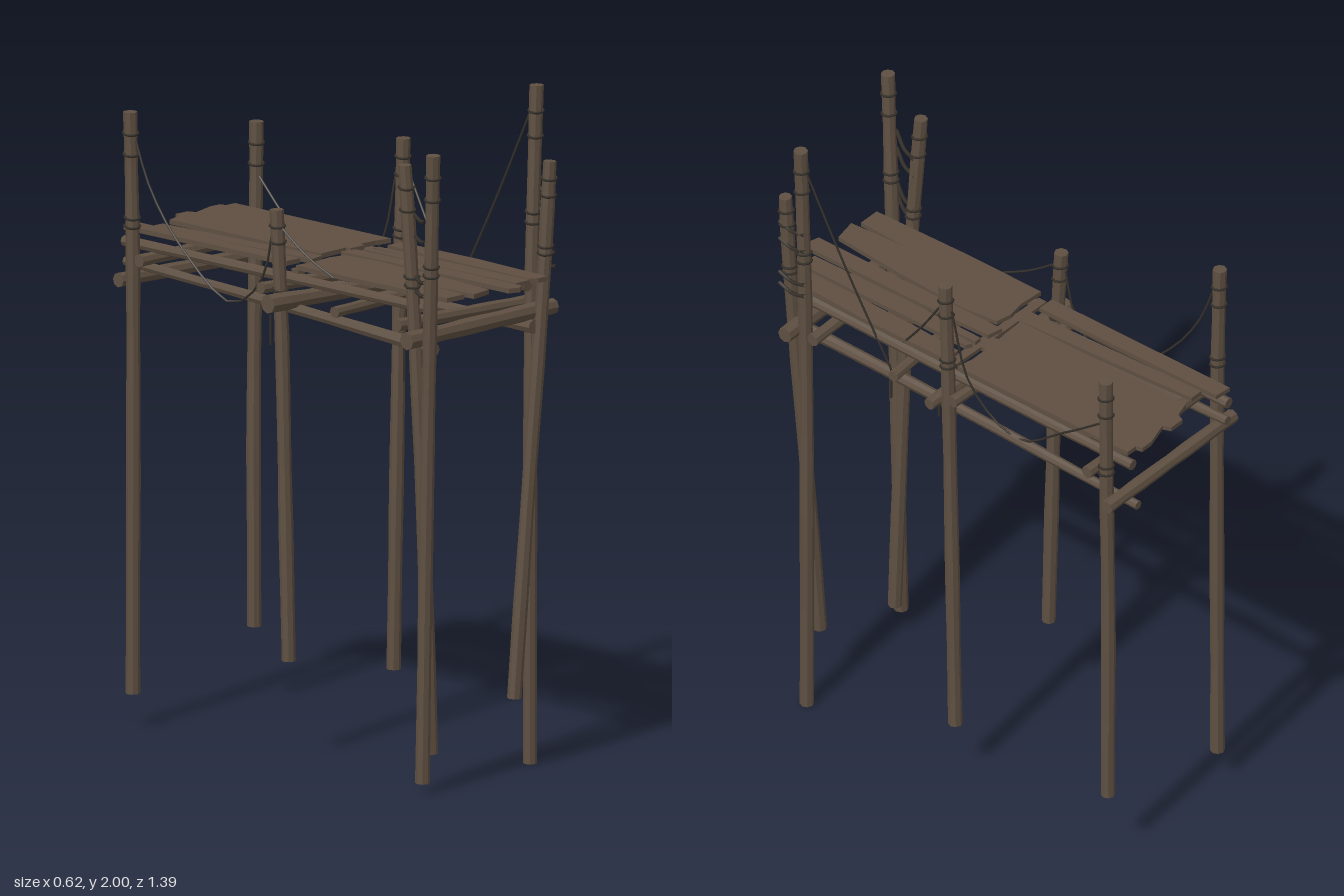
import * as THREE from 'three';

const wood = new THREE.MeshStandardMaterial({ color: 0x5e4f41, flatShading: true });
wood.name = 'weathered wood';
const rope = new THREE.MeshStandardMaterial({ color: 0x35302a });
rope.name = 'dark rope';

const V = (p) => new THREE.Vector3(...p);

// Rough round timber following a few points, with a slightly uneven radius
function pole(name, points, r0, r1 = r0) {
  const pts = points.map(V);
  const curve = pts.length > 2 ? new THREE.CatmullRomCurve3(pts) : new THREE.LineCurve3(pts[0], pts[1]);
  const dir = pts[pts.length - 1].clone().sub(pts[0]).normalize();
  const q = new THREE.Quaternion().setFromUnitVectors(new THREE.Vector3(0, 1, 0), dir);
  const geo = new THREE.CylinderGeometry(1, 1, 1, 8, 8);
  const pos = geo.attributes.position;
  const v = new THREE.Vector3();
  for (let i = 0; i < pos.count; i++) {
    const t = THREE.MathUtils.clamp(pos.getY(i) + 0.5, 0, 1);
    const r = THREE.MathUtils.lerp(r0, r1, t) * (1 + 0.05 * Math.sin(t * 17 + points[0][0] * 40));
    v.set(pos.getX(i) * r, 0, pos.getZ(i) * r).applyQuaternion(q).add(curve.getPoint(t));
    pos.setXYZ(i, v.x, v.y, v.z);
  }
  geo.computeVertexNormals();
  const mesh = new THREE.Mesh(geo, wood);
  mesh.name = name;
  return mesh;
}

function cord(name, points, r = 0.0035) {
  const curve = new THREE.CatmullRomCurve3(points.map(V));
  const mesh = new THREE.Mesh(new THREE.TubeGeometry(curve, 16, r, 5), rope);
  mesh.name = name;
  return mesh;
}

// Board with a ragged outline given in (x, z)
function plank(name, outline, y, thickness = 0.014) {
  const shape = new THREE.Shape(outline.map(([x, z]) => new THREE.Vector2(x, -z)));
  const geo = new THREE.ExtrudeGeometry(shape, { depth: thickness, bevelEnabled: false });
  geo.rotateX(-Math.PI / 2);
  const mesh = new THREE.Mesh(geo, wood);
  mesh.name = name;
  mesh.position.y = y;
  return mesh;
}

export function createModel() {
  const model = new THREE.Group();
  model.name = 'scaffoldPlatform';
  const add = (...m) => model.add(...m);

  // Upright posts: paired at the front, single at the middle and back
  const posts = [
    ['frontRightOuterPost', [[-0.25, 0.03, 0.59], [-0.252, 0.9, 0.61], [-0.262, 1.45, 0.635], [-0.28, 1.9, 0.665]]],
    ['frontRightInnerPost', [[-0.18, 0.1, 0.555], [-0.208, 0.9, 0.545], [-0.225, 1.4, 0.53], [-0.238, 1.84, 0.505]]],
    ['frontLeftOuterPost', [[0.243, 0, 0.53], [0.243, 0.9, 0.53], [0.252, 1.5, 0.53], [0.268, 2, 0.532]]],
    ['frontLeftInnerPost', [[0.155, 0.21, 0.555], [0.2, 0.9, 0.575], [0.235, 1.45, 0.595], [0.25, 1.79, 0.605]]],
    ['middleLeftPost', [[0.235, 0.19, -0.022], [0.24, 0.9, -0.012], [0.245, 1.4, -0.005], [0.25, 1.76, 0.003]]],
    ['middleRightPost', [[-0.215, 0.29, 0.005], [-0.22, 0.8, -0.005], [-0.225, 1.3, -0.015], [-0.23, 1.62, -0.03]]],
    ['backLeftPost', [[0.245, 0.22, -0.605], [0.243, 0.9, -0.605], [0.247, 1.3, -0.602], [0.254, 1.71, -0.605]]],
    ['backRightPost', [[-0.245, 0.1, -0.605], [-0.245, 0.9, -0.603], [-0.25, 1.4, -0.6], [-0.258, 1.82, -0.603]]],
  ];
  for (const [name, pts] of posts) add(pole(name, pts, 0.021, 0.02));

  // Cross beams
  const beams = [
    ['frontBeam', [-0.3, 1.34, 0.575], [0.307, 1.345, 0.56], 0.026, 0.025],
    ['frontInnerBeam', [-0.25, 1.365, 0.485], [0.28, 1.35, 0.478], 0.019],
    ['middleBeam', [-0.31, 1.36, 0.015], [0.293, 1.345, 0.028], 0.028, 0.019],
    ['middleRearBeam', [-0.255, 1.385, -0.07], [0.272, 1.375, -0.042], 0.018],
    ['backBeam', [-0.26, 1.315, -0.65], [0.302, 1.305, -0.648], 0.021],
    ['backInnerBeam', [-0.258, 1.385, -0.567], [0.292, 1.385, -0.565], 0.019],
    ['thinCrossBeam', [-0.247, 1.36, 0.225], [0.273, 1.36, 0.18], 0.017],
  ];
  for (const [name, a, b, r0, r1] of beams) add(pole(name, [a, b], r0, r1));

  // Lengthwise rails below the deck
  add(
    pole('leftDeckRail', [[0.205, 1.42, 0.56], [0.21, 1.415, -0.67]], 0.016),
    pole('rightDeckRail', [[-0.205, 1.42, 0.56], [-0.195, 1.415, -0.69]], 0.016),
    pole('leftLowerRail', [[0.2, 1.305, 0.59], [0.205, 1.3, 0], [0.21, 1.28, -0.69]], 0.02, 0.014),
    pole('rightLowerRail', [[-0.2, 1.3, 0.59], [-0.2, 1.33, 0], [-0.19, 1.355, -0.69]], 0.02, 0.014),
  );

  // Deck boards, split and broken at the ends
  add(
    plank('wideFrontPlank', [[-0.21, 0.03], [-0.13, 0.035], [-0.07, 0.025], [-0.02, 0.035], [-0.005, 0.15], [-0.015, 0.4],
      [-0.035, 0.645], [-0.11, 0.66], [-0.122, 0.47], [-0.13, 0.64], [-0.2, 0.64], [-0.21, 0.3]], 1.448),
    plank('narrowFrontPlank', [[0, 0], [0.05, 0.01], [0.06, 0.3], [0.062, 0.68], [0.04, 0.695], [0.005, 0.685], [0.004, 0.3]], 1.45),
    plank('splitFrontPlank', [[0.072, 0.02], [0.095, 0.02], [0.1, 0.16], [0.108, 0.02], [0.128, 0.03], [0.135, 0.64],
      [0.078, 0.64], [0.07, 0.3]], 1.448),
    plank('leftFrontPlank', [[0.16, 0.03], [0.215, 0.03], [0.22, 0.35], [0.205, 0.64], [0.17, 0.64], [0.145, 0.625], [0.15, 0.2]], 1.448),
    plank('rightBackPlank', [[-0.205, -0.685], [-0.15, -0.68], [-0.145, -0.02], [-0.2, -0.02]], 1.45),
    plank('slantedBackPlank', [[-0.143, -0.63], [-0.1, -0.63], [-0.065, -0.01], [-0.118, 0]], 1.446),
    plank('wideBackPlank', [[-0.062, -0.64], [-0.01, -0.655], [0, -0.68], [0.05, -0.68], [0.06, -0.655], [0.14, -0.68],
      [0.18, -0.68], [0.185, -0.66], [0.222, -0.66], [0.222, -0.02], [0.17, -0.03], [0.11, -0.03], [0.105, -0.01],
      [0.05, -0.01], [0.045, -0.025], [-0.06, -0.02]], 1.45),
    plank('middleSlat', [[-0.2, 0], [0.2, 0.005], [0.2, 0.035], [-0.2, 0.03]], 1.434, 0.012),
  );

  // Slack ropes slung between posts and rails
  add(
    cord('frontLeftRope', [[0.265, 1.94, 0.52], [0.24, 1.63, 0.385], [0.21, 1.32, 0.24]]),
    cord('middleLeftRope', [[0.25, 1.71, 0], [0.235, 1.56, 0.1], [0.212, 1.445, 0.19]]),
    cord('middleRightRope', [[-0.23, 1.57, -0.01], [-0.225, 1.5, 0.09], [-0.215, 1.45, 0.19]]),
    cord('backLeftRope', [[0.25, 1.68, -0.02], [0.23, 1.42, -0.08], [0.212, 1.3, -0.23], [0.225, 1.42, -0.42], [0.25, 1.56, -0.6]]),
    cord('backRightRope', [[-0.23, 1.58, -0.04], [-0.222, 1.4, -0.1], [-0.218, 1.31, -0.23], [-0.235, 1.45, -0.42],
      [-0.247, 1.6, -0.53], [-0.258, 1.79, -0.6]]),
  );
  const ends = [[0.21, 1.32, 0.24, 1.22], [-0.21, 1.3, 0.475, 1.19], [0.21, 1.3, 0.06, 1.24], [-0.21, 1.3, -0.075, 1.21]];
  for (const [x, top, z, low] of ends) add(cord('hangingRopeEnd', [[x, top, z], [x, low, z]]));

  // Rope ties between the paired front posts
  for (const y of [1.48, 1.52, 1.64, 1.7]) {
    add(cord('rightPostTie', [[-0.29, y, 0.64], [-0.25, y - 0.012, 0.58], [-0.215, y, 0.51]], 0.006));
    add(cord('leftPostTie', [[0.275, y + 0.01, 0.51], [0.265, y - 0.01, 0.57], [0.26, y, 0.62]], 0.006));
  }

  // Lashings wound around the posts
  const wind = (x, y, z) => {
    const ring = new THREE.Mesh(new THREE.TorusGeometry(0.022, 0.004, 5, 10), rope);
    ring.name = 'lashing';
    ring.rotation.set(Math.PI / 2 + 0.15, 0.1, 0);
    ring.position.set(x, y, z);
    add(ring);
  };
  for (const [name, pts] of posts) {
    const curve = new THREE.CatmullRomCurve3(pts.map(V));
    for (const t of [0.73, 0.75, 0.9, 0.95]) {
      const p = curve.getPoint(t);
      wind(p.x, p.y, p.z);
    }
  }
  return model;
}
